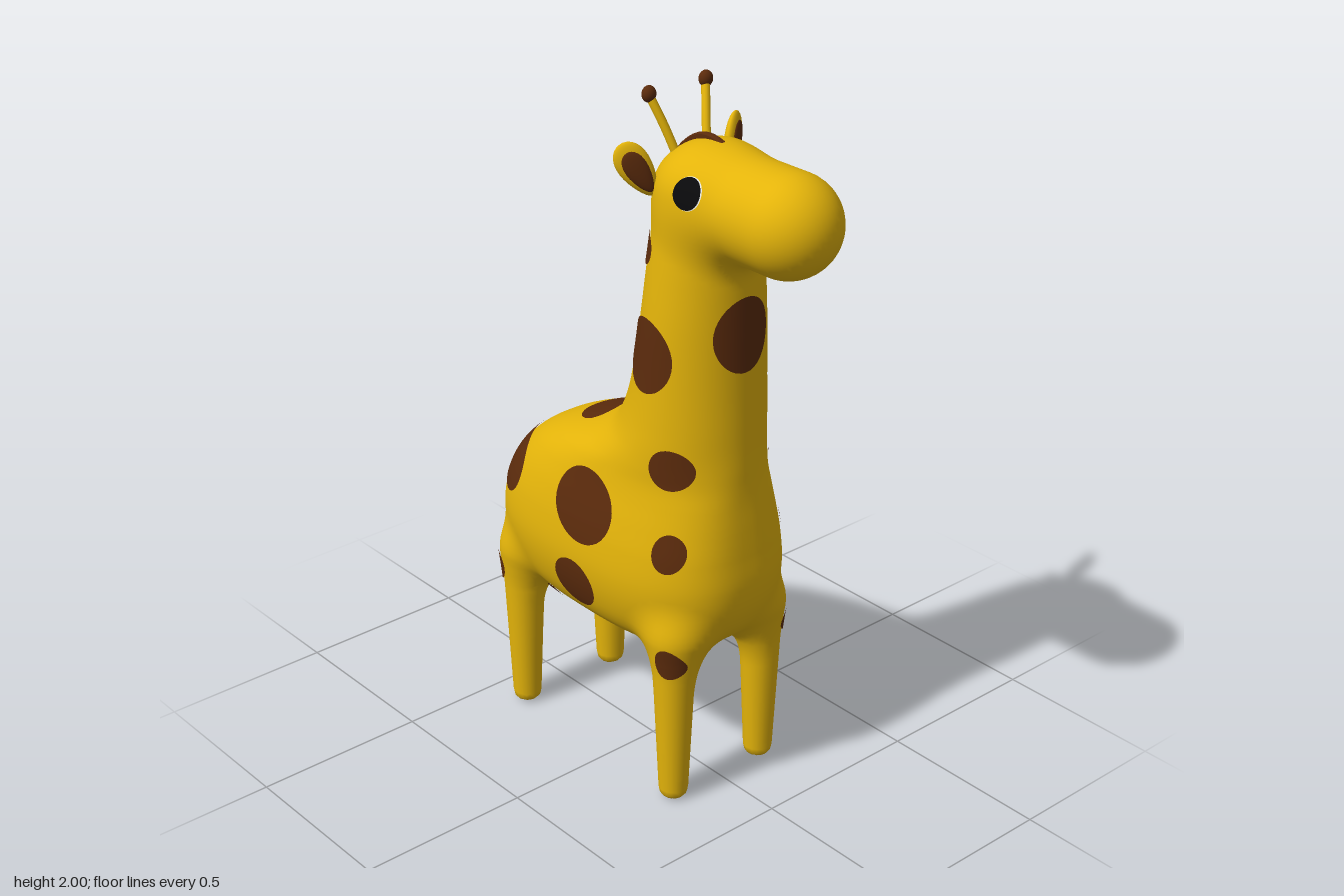
import * as THREE from 'three';

const paint = (name, color) => new THREE.MeshStandardMaterial({ name, color });
const yellow = paint('yellowHide', 0xe4b40a);
const brown = paint('brownPatch', 0x5b2b0c);
const black = paint('blackEye', 0x0a0a0c);
const pale = paint('paleEyeRim', 0xe6e6e0);
const V = (x, y, z) => new THREE.Vector3(x, y, z);

// Smooth union and smooth intersection of two distances
const smin = (a, b, k) => Math.min(a, b) - Math.max(k - Math.abs(a - b), 0) ** 2 / (4 * k);
const smax = (a, b, k) => -smin(-a, -b, k);

// Torso and neck: level sections [y, back x, front x, half width, roundness]
const sections = [
  [0.395, -0.43, 0.32, 0.17, 2.6], [0.45, -0.442, 0.33, 0.2, 2.7], [0.5, -0.465, 0.355, 0.228, 2.7],
  [0.58, -0.497, 0.386, 0.255, 2.7], [0.66, -0.505, 0.395, 0.265, 2.7], [0.75, -0.485, 0.388, 0.258, 2.7],
  [0.83, -0.445, 0.38, 0.243, 2.6], [0.9, -0.375, 0.372, 0.225, 2.5], [0.95, -0.285, 0.368, 0.214, 2.3],
  [1.0, -0.155, 0.366, 0.205, 2.1], [1.05, -0.07, 0.364, 0.197, 2], [1.12, -0.022, 0.362, 0.188, 2],
  [1.22, 0.012, 0.359, 0.18, 2], [1.4, 0.045, 0.355, 0.17, 2], [1.52, 0.06, 0.352, 0.16, 2],
  [1.62, 0.073, 0.35, 0.15, 2], [1.72, 0.08, 0.35, 0.139, 2], [1.8, 0.092, 0.345, 0.128, 2],
  [1.87, 0.125, 0.33, 0.105, 2],
];
const slope = (i, c) => {
  const a = sections[Math.max(i - 1, 0)], b = sections[Math.min(i + 1, sections.length - 1)];
  return (b[c] - a[c]) / (b[0] - a[0]);
};

function torso(x, y, z) {
  const h = THREE.MathUtils.clamp(y, 0.395, 1.869);
  let i = 0;
  while (sections[i + 1][0] <= h) i++;
  const s = sections[i], e = sections[i + 1], d = e[0] - s[0], t = (h - s[0]) / d;
  const at = c => {
    const m = slope(i, c) * d, n = slope(i + 1, c) * d, gap = e[c] - s[c];
    return s[c] + t * (m + t * (3 * gap - 2 * m - n + t * (m + n - 2 * gap)));
  };
  const back = at(1), front = at(2), w = at(3), p = at(4), a = (front - back) / 2;
  const q = Math.pow(Math.pow(Math.abs(x - (back + front) / 2) / a, p) + Math.pow(Math.abs(z) / w, p), 1 / p);
  const side = (q - 1) * Math.min(a, w);
  return smax(smax(side, 0.395 - y, 0.15), y - 1.848, 0.11);
}

// Tapering leg with a rounded hoof and a rounded top inside the body
function leg(x, y, z, cx) {
  const r = Math.hypot(x - cx, Math.abs(z) - 0.16, Math.max(y - 0.5, 0));
  return smax(r - (0.04 + 0.045 * Math.min(y, 0.45)), -y, 0.03);
}

const head = (x, y, z) => Math.hypot(x - THREE.MathUtils.clamp(x, 0.25, 0.504), y - 1.728, z) - 0.137;

// Whole hide as one distance field, negative inside
function hide(x, y, z) {
  let f = smin(torso(x, y, z), head(x, y, z), 0.075);
  for (const cx of [0.27, -0.385]) f = smin(f, leg(x, y, z, cx), 0.09);
  return f;
}

const gradient = p => {
  const e = 0.002;
  return V(hide(p.x + e, p.y, p.z) - hide(p.x - e, p.y, p.z),
    hide(p.x, p.y + e, p.z) - hide(p.x, p.y - e, p.z),
    hide(p.x, p.y, p.z + e) - hide(p.x, p.y, p.z - e)).divideScalar(2 * e);
};

function makeGeometry(pos, nor, idx) {
  const g = new THREE.BufferGeometry();
  g.setAttribute('position', new THREE.Float32BufferAttribute(pos, 3));
  g.setAttribute('normal', new THREE.Float32BufferAttribute(nor, 3));
  g.setIndex(idx);
  return g;
}

// Skin over the field: one point per crossed grid cell, settled onto the surface
function hideGeometry() {
  const h = 0.018, origin = V(-0.57, -0.049, -0.333), n = [71, 110, 38];
  const stride = [1, n[0], n[0] * n[1]];
  const field = new Float32Array(n[0] * n[1] * n[2]), cell = new Int32Array(field.length).fill(-1);
  const each = fn => {
    for (let k = 1; k < n[2] - 1; k++)
      for (let j = 1; j < n[1] - 1; j++)
        for (let i = 1; i < n[0] - 1; i++) fn(i + j * stride[1] + k * stride[2], i, j, k);
  };
  field.fill(1);
  each((c, i, j, k) => { field[c] = hide(origin.x + i * h, origin.y + j * h, origin.z + k * h); });
  const pos = [], nor = [], idx = [];
  each((c, i, j, k) => {
    let inside = 0;
    for (let m = 0; m < 8; m++)
      if (field[c + (m & 1) + (m >> 1 & 1) * stride[1] + (m >> 2) * stride[2]] < 0) inside++;
    if (inside === 0 || inside === 8) return;
    const p = V(i + 0.5, j + 0.5, k + 0.5).multiplyScalar(h).add(origin);
    for (let m = 0; m < 5; m++) {
      const g = gradient(p);
      p.addScaledVector(g, -hide(p.x, p.y, p.z) / Math.max(g.lengthSq(), 0.2));
    }
    cell[c] = pos.length / 3;
    pos.push(p.x, p.y, p.z);
    nor.push(...gradient(p).normalize().toArray());
  });
  each(c => {
    for (let d = 0; d < 3; d++) {
      const out = field[c] < 0;
      if (out === field[c + stride[d]] < 0) continue;
      const u = stride[(d + 1) % 3], v = stride[(d + 2) % 3];
      const q = [cell[c], cell[c - u], cell[c - u - v], cell[c - v]];
      if (!out) q.reverse();
      idx.push(q[0], q[1], q[2], q[0], q[2], q[3]);
    }
  });
  return makeGeometry(pos, nor, idx);
}

// Point on the hide met when coming in from outside
function land(start, out) {
  const p = start.clone().addScaledVector(out, 0.45);
  const f = () => hide(p.x, p.y, p.z);
  for (let n = 0; n < 60 && f() > 0; n++) p.addScaledVector(out, -0.01);
  if (f() > 0) return null;
  for (let step = 0.005; step > 0.00005; step /= 2) p.addScaledVector(out, f() > 0 ? -step : step);
  return p;
}

// Thin rounded patch laid over the hide
function patchGeometry(center, out, up, ru, rv, lift = 0.004) {
  const right = up.clone().cross(out);
  const rings = 9, cols = 36, pos = [], nor = [], idx = [];
  for (let i = 0; i <= rings; i++)
    for (let j = 0; j < cols; j++) {
      const a = (j / cols) * Math.PI * 2;
      let p = null;
      for (let r = i / rings; !p; r *= 0.95)
        p = land(center.clone().addScaledVector(right, Math.cos(a) * r * ru).addScaledVector(up, Math.sin(a) * r * rv), out);
      const g = gradient(p).normalize();
      pos.push(...p.addScaledVector(g, lift).toArray());
      nor.push(...g.toArray());
      if (i === rings) continue;
      const c = i * cols + j, b = i * cols + (j + 1) % cols;
      idx.push(c, c + cols, b, b, c + cols, b + cols);
    }
  return makeGeometry(pos, nor, idx);
}

export function createModel() {
  const root = new THREE.Group();
  root.name = 'giraffe';
  const add = (name, geo, mat, parent = root) => {
    const m = new THREE.Mesh(geo, mat);
    m.name = name;
    parent.add(m);
  };
  const ball = (x, y, z) => new THREE.SphereGeometry(1, 24, 16).scale(x, y, z);
  const up = V(0, 1, 0);

  add('bodyHeadAndLegs', hideGeometry(), yellow);

  // Flank spots: x, y, half width, half height
  const spots = [
    [0.125, 1.59, 0.04, 0.045], [0.17, 1.315, 0.09, 0.102], [0.26, 1.015, 0.055, 0.058],
    [-0.005, 0.83, 0.112, 0.105], [-0.375, 0.805, 0.073, 0.08], [0.285, 0.785, 0.041, 0.055],
    [-0.03, 0.59, 0.08, 0.072], [-0.175, 0.48, 0.031, 0.026], [-0.423, 0.462, 0.034, 0.047],
    [0.304, 0.462, 0.033, 0.047],
  ];
  for (const s of [1, -1]) {
    for (const [x, y, ru, rv] of spots)
      add('spot', patchGeometry(V(x, y, 0), V(0, 0, s), up, ru, rv), brown);
    add('eyeRim', patchGeometry(V(0.29, 1.78, 0), V(0, 0, s), up, 0.042, 0.04), pale);
    add('eye', patchGeometry(V(0.29, 1.78, 0), V(0, 0, s), up, 0.04, 0.038, 0.007), black);
  }
  add('backSpot', patchGeometry(V(-0.15, 1, 0), up, V(0, 0, -1), 0.09, 0.103), brown);
  add('throatSpot', patchGeometry(V(0.3, 1.385, 0), V(1, 0, 0), up, 0.09, 0.104), brown);

  // Mane: thin crest from the nape over the crown
  const crest = [[-0.012, 1.12], [0.006, 1.2], [0.027, 1.32], [0.041, 1.45], [0.054, 1.6], [0.069, 1.74],
    [0.1, 1.815], [0.16, 1.868], [0.22, 1.882], [0.285, 1.866]].map(p => new THREE.Vector2(...p));
  const mane = new THREE.Shape(new THREE.SplineCurve(crest).getPoints(40));
  [[0.28, 1.84], [0.18, 1.82], [0.12, 1.74], [0.1, 1.6], [0.08, 1.4], [0.04, 1.2]].forEach(p => mane.lineTo(...p));
  add('mane', new THREE.ExtrudeGeometry(mane, {
    depth: 0.006, bevelThickness: 0.006, bevelSize: 0.004, bevelSegments: 2,
  }).translate(0, 0, -0.003), brown);

  for (const s of [1, -1]) {
    // Ears, narrow at the root, with a dark hollow
    const ear = new THREE.Group();
    ear.name = 'ear';
    ear.position.set(0.124, 1.803, s * 0.16);
    ear.rotation.set(s * 0.62, -s * 0.4, 0.3);
    root.add(ear);
    const leaf = (x, y, z, dx, dy) => {
      const g = ball(x, y, z), p = g.attributes.position;
      for (let i = 0; i < p.count; i++) p.setZ(i, p.getZ(i) * (1 + 0.3 * p.getY(i) / y));
      g.computeVertexNormals();
      return g.translate(dx, dy, 0);
    };
    add('earShell', leaf(0.018, 0.082, 0.042, 0, 0), yellow, ear);
    add('earInside', leaf(0.009, 0.062, 0.029, 0.012, -0.004), brown, ear);

    // Horns
    const horn = new THREE.CatmullRomCurve3([V(0.155, 1.8, s * 0.045), V(0.125, 1.89, s * 0.068), V(0.093, 1.975, s * 0.094)]);
    add('horn', new THREE.TubeGeometry(horn, 10, 0.0115, 12), yellow);
    add('hornTip', ball(0.017, 0.022, 0.02).translate(0.093, 1.978, s * 0.095), brown);
  }

  // Tail with a dark tuft
  const tail = new THREE.CatmullRomCurve3([V(-0.46, 0.665, 0), V(-0.515, 0.65, 0), V(-0.575, 0.6, 0), V(-0.608, 0.54, 0), V(-0.618, 0.47, 0)]);
  add('tail', new THREE.TubeGeometry(tail, 24, 0.017, 14), yellow);
  add('tailTuft', ball(0.027, 0.033, 0.027).translate(-0.619, 0.468, 0), brown);

  return root;
}
